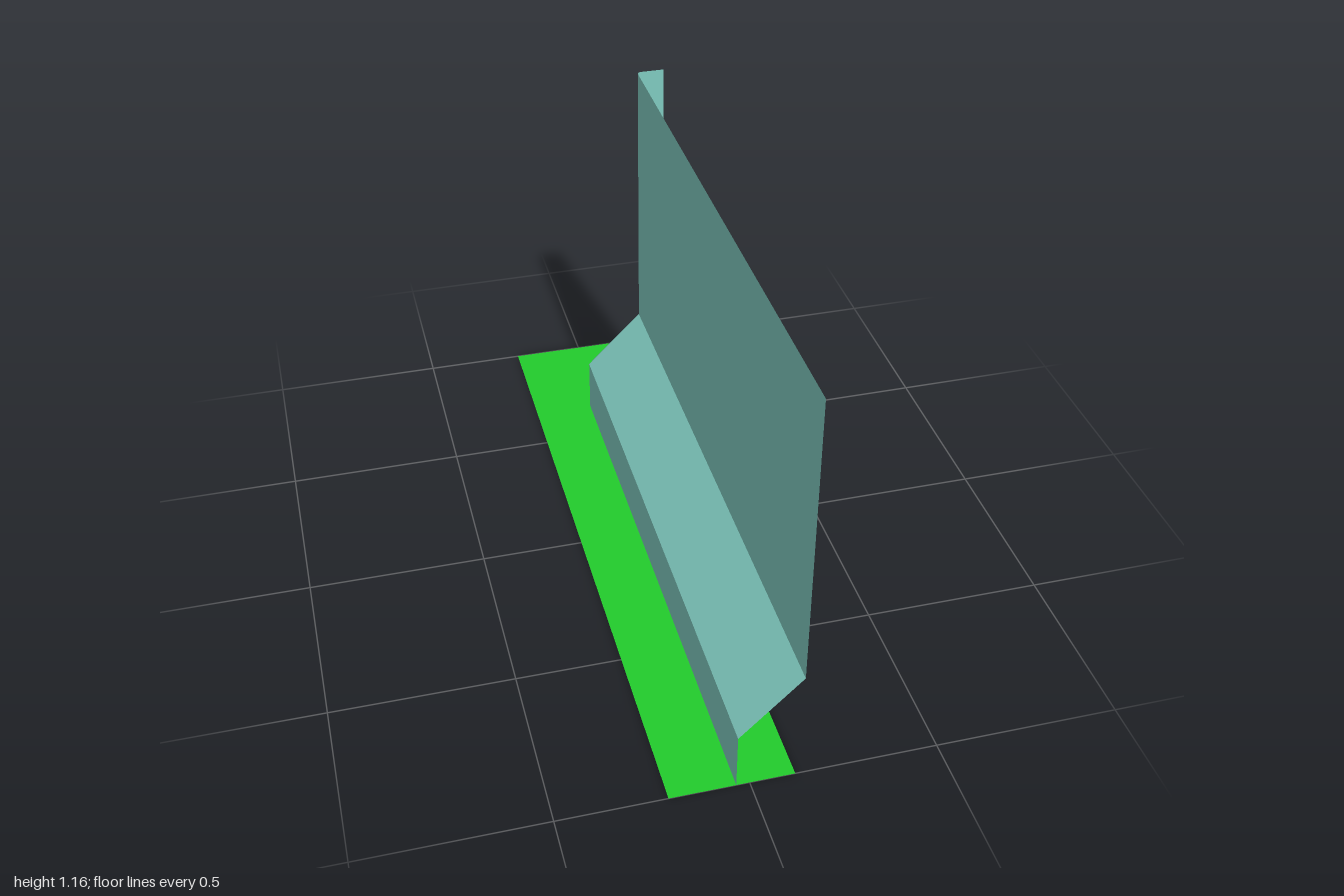
import * as THREE from 'three';

const FRONT = 1, BACK = -0.67, RADIUS = 0.012, FLANGE_X = 0.21, STEPS = 6;

// Wall profile (x, y) from the foot to the top; bends shift down as the sheet is offset.
const profile = [
  { x: -0.035, y: 0, drop: 0 },
  { x: -0.035, y: 0.165, drop: Math.tan(Math.PI / 8) },
  { x: 0.13, y: 0.33, drop: Math.tan(Math.PI / 8) },
  { x: 0.13, y: 1.16, drop: 0 },
];

// One edge of a panel: along the wall, round the back corner, out to the flange edge.
function edge(p) {
  const pts = [[p.x, p.y, FRONT]];
  for (let i = 0; i <= STEPS; i++) {
    const a = (i / STEPS) * Math.PI / 2;
    const d = RADIUS * (1 - Math.cos(a));
    pts.push([p.x + d, p.y - p.drop * d, BACK + RADIUS * (1 - Math.sin(a))]);
  }
  pts.push([FLANGE_X, pts[pts.length - 1][1], BACK]);
  return pts;
}

// Panel between two neighbouring profile points.
function panel(low, high) {
  const a = edge(low), b = edge(high), n = a.length, index = [];
  for (let i = 0; i < n - 1; i++) {
    index.push(i, n + i, n + i + 1, i, n + i + 1, i + 1);
  }
  const g = new THREE.BufferGeometry();
  g.setAttribute('position', new THREE.Float32BufferAttribute([...a, ...b].flat(), 3));
  g.setIndex(index);
  g.computeVertexNormals();
  return g;
}

export function createModel() {
  const model = new THREE.Group();
  const teal = new THREE.MeshStandardMaterial({ color: 0x80cbc0, side: THREE.DoubleSide });
  const green = new THREE.MeshStandardMaterial({ color: 0x22cc2c, side: THREE.DoubleSide });

  // Folded wall sheet with its rounded corner and end flange
  const wall = new THREE.Group();
  wall.name = 'wall';
  ['footPanel', 'slopedPanel', 'upperPanel'].forEach((name, i) => {
    const mesh = new THREE.Mesh(panel(profile[i], profile[i + 1]), teal);
    mesh.name = name;
    wall.add(mesh);
  });
  model.add(wall);

  // Flat ground strip under the wall
  const strip = new THREE.Mesh(new THREE.PlaneGeometry(0.33, 2).rotateX(-Math.PI / 2), green);
  strip.position.x = -0.045;
  strip.name = 'groundStrip';
  model.add(strip);

  return model;
}
